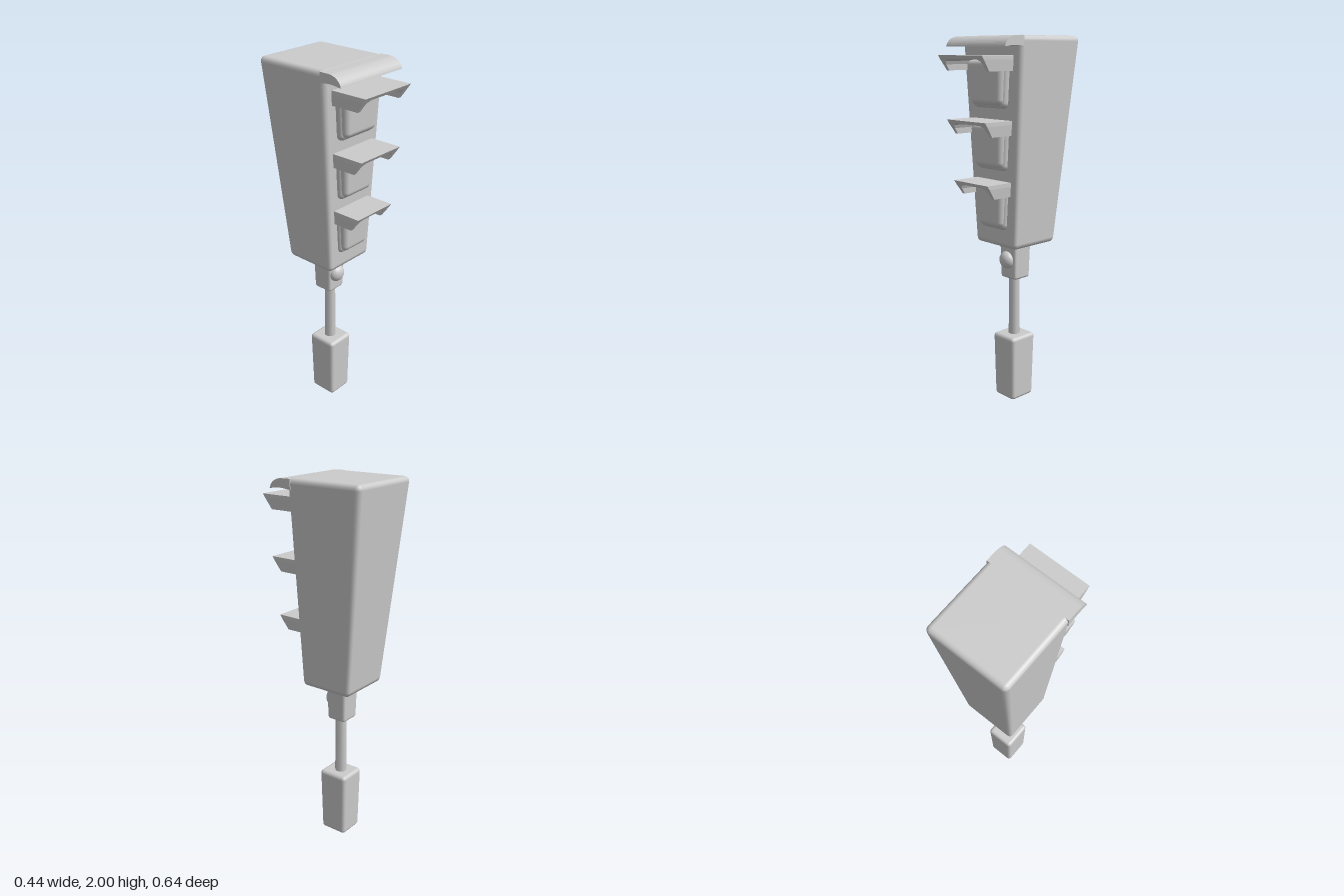
import * as THREE from 'three';
import { RoundedBoxGeometry } from 'three/addons/geometries/RoundedBoxGeometry.js';

const material = new THREE.MeshStandardMaterial({ color: 0xcccccc });

function addMesh(parent, name, geometry) {
  const mesh = new THREE.Mesh(geometry, material);
  mesh.name = name;
  parent.add(mesh);
  return mesh;
}

// Rounded box whose section changes linearly from bottom to top.
// Each end is { y, w (half width), back, front }.
function taperedBox(bottom, top, radius, segments = 2) {
  const height = top.y - bottom.y;
  const width = 2 * Math.max(top.w, bottom.w);
  const depth = Math.max(top.front - top.back, bottom.front - bottom.back);
  const geo = new RoundedBoxGeometry(width, height, depth, segments, radius);
  const pos = geo.attributes.position;
  const nor = geo.attributes.normal;
  const mix = THREE.MathUtils.lerp;
  const n = new THREE.Vector3();
  for (let i = 0; i < pos.count; i++) {
    const u = pos.getX(i) / width * 2;
    const v = pos.getZ(i) / depth + 0.5;
    const t = pos.getY(i) / height + 0.5;
    const zBottom = mix(bottom.back, bottom.front, v);
    const zTop = mix(top.back, top.front, v);
    pos.setXYZ(i, u * mix(bottom.w, top.w, t), mix(bottom.y, top.y, t), mix(zBottom, zTop, t));
    // tilt the normals to follow the slope of the walls
    n.fromBufferAttribute(nor, i);
    n.y -= n.x * u * (top.w - bottom.w) / height + n.z * (zTop - zBottom) / height;
    n.normalize();
    nor.setXYZ(i, n.x, n.y, n.z);
  }
  return geo;
}

// Flat hood with two short side flanges, swept back at the front edge
function hoodGeometry(w, top, back, tip) {
  const drop = 0.075, plate = 0.018;
  const right = [
    [w, top], [w, top - 0.02], [w - 0.006, top - drop], [w - 0.024, top - drop],
    [w - 0.026, top - 0.045], [w - 0.034, top - 0.028], [w - 0.055, top - plate],
  ];
  const left = right.map(([x, y]) => [-x, y]).reverse();
  const shape = new THREE.Shape([...right, ...left].map(([x, y]) => new THREE.Vector2(x, y)));
  const geo = new THREE.ExtrudeGeometry(shape, { depth: 1, bevelEnabled: false });
  const pos = geo.attributes.position;
  for (let i = 0; i < pos.count; i++) {
    const sweep = 0.052 * (top - pos.getY(i)) / drop;
    pos.setZ(i, pos.getZ(i) > 0.5 ? tip - sweep : back);
  }
  geo.computeVertexNormals();
  return geo;
}

export function createModel() {
  const model = new THREE.Group();
  model.name = 'signalLight';

  // Tapered housing
  addMesh(model, 'housing', taperedBox(
    { y: 0.905, w: 0.152, back: -0.213, front: 0.086 },
    { y: 2, w: 0.222, back: -0.32, front: 0.113 }, 0.028));

  // Quarter-round brow along the top front edge
  const brow = new THREE.Shape();
  brow.moveTo(0.09, 1.998);
  brow.lineTo(0.15, 1.997);
  brow.bezierCurveTo(0.185, 1.993, 0.213, 1.975, 0.22, 1.945);
  brow.lineTo(0.2, 1.947);
  brow.quadraticCurveTo(0.16, 1.957, 0.09, 1.945);
  const browGeo = new THREE.ExtrudeGeometry(brow, { depth: 0.444, bevelEnabled: false, curveSegments: 10 });
  browGeo.rotateY(-Math.PI / 2);
  browGeo.translate(0.222, 0, 0);
  addMesh(model, 'topBrow', browGeo);

  // Three lamps, each smaller than the one above
  const lamps = [
    { top: 1.88, bottom: 1.64, w: 0.14, face: 0.175, hoodTop: 1.903, hoodW: 0.166, tip: 0.318 },
    { top: 1.557, bottom: 1.32, w: 0.127, face: 0.161, hoodTop: 1.582, hoodW: 0.147, tip: 0.283 },
    { top: 1.243, bottom: 1.003, w: 0.114, face: 0.147, hoodTop: 1.265, hoodW: 0.131, tip: 0.255 },
  ];
  lamps.forEach((l, i) => {
    const lamp = new THREE.Group();
    lamp.name = `lamp${i + 1}`;
    model.add(lamp);
    addMesh(lamp, 'rim', taperedBox(
      { y: l.bottom, w: l.w - 0.021, back: 0.04, front: l.face - 0.035 },
      { y: l.top, w: l.w, back: 0.04, front: l.face - 0.026 }, 0.03, 3));
    addMesh(lamp, 'lens', taperedBox(
      { y: l.bottom + 0.015, w: l.w - 0.028, back: 0.05, front: l.face - 0.014 },
      { y: l.top, w: l.w - 0.008, back: 0.05, front: l.face }, 0.03, 3));
    addMesh(lamp, 'hood', hoodGeometry(l.hoodW, l.hoodTop, 0.07, l.tip));
  });

  // Socket with its round knob
  addMesh(model, 'socket', taperedBox(
    { y: 0.7, w: 0.057, back: -0.12, front: -0.008 },
    { y: 0.95, w: 0.064, back: -0.127, front: -0.002 }, 0.015));
  const knob = addMesh(model, 'knob', new THREE.SphereGeometry(0.048, 20, 14));
  knob.scale.z = 0.8;
  knob.position.set(-0.003, 0.808, -0.006);

  // Eight-sided rod
  const rodGeo = new THREE.CylinderGeometry(0.031, 0.034, 0.4, 8);
  rodGeo.rotateY(Math.PI / 8);
  const rod = addMesh(model, 'rod', rodGeo);
  rod.position.set(0, 0.54, -0.058);

  // Grip block
  addMesh(model, 'grip', taperedBox(
    { y: 0, w: 0.074, back: -0.134, front: 0.022 },
    { y: 0.373, w: 0.082, back: -0.142, front: 0.03 }, 0.02));

  return model;
}
